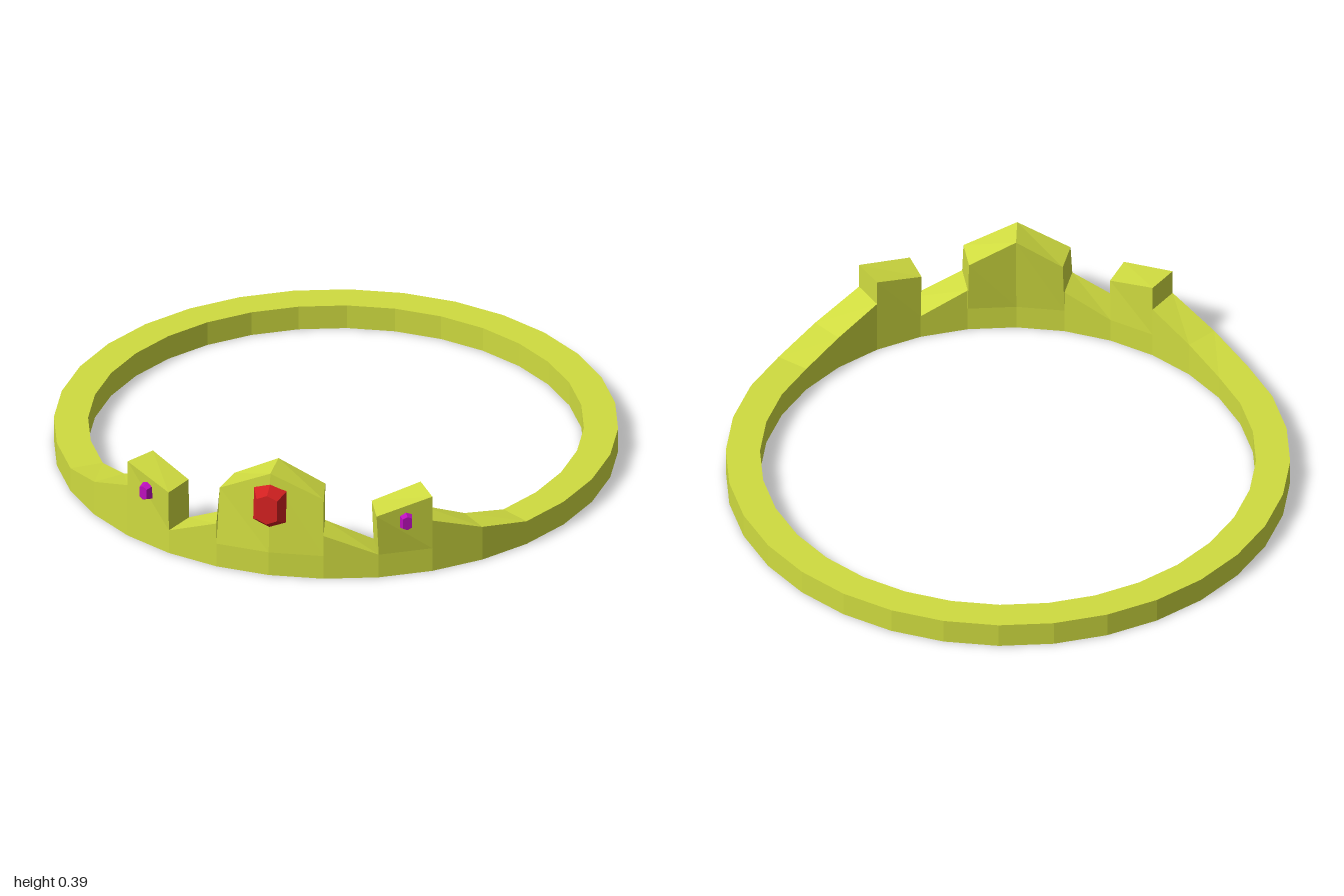
import * as THREE from 'three';

const STEP = Math.PI / 16; // 32-sided band
const FRONT = 0.669; // direction of the central crest, from +z towards -x
const OUTER = 0.99, INNER = 0.87, BAND = 0.09, CENTRE_Z = -0.01;

const gold = new THREE.MeshStandardMaterial({ color: 0xd0dc40, flatShading: true });
const red = new THREE.MeshStandardMaterial({ color: 0xd02020, flatShading: true });
const purple = new THREE.MeshStandardMaterial({ color: 0xbc10bc, flatShading: true });

// Point at k steps from the crest, radius r, height y
function polar(k, r, y) {
  const a = FRONT + k * STEP;
  return [-r * Math.sin(a), y, r * Math.cos(a) + CENTRE_Z];
}

// Half profile of the top edge: steps from crest, height, radial lean
const half = [
  [1, 0.3, -0.027], [1, 0.17, 0], // crest shoulder
  [2, BAND, 0], [2, 0.25, 0.015, -0.05], // valley and side point
  [3, 0.295, 0], [3, 0.2, 0], [4, 0.13, 0],
];
for (let k = 5; k <= 16; k++) half.push([k, BAND, 0]);

// Band and points, lofted from cross-sections all the way round
function circletGeometry() {
  const mirrored = half.map(([k, y, lean, shift = 0]) => [-k, y, lean, -shift]).reverse();
  const sections = [...mirrored, [0, 0.39, -0.025], ...half].map(([k, y, lean, shift = 0]) => [
    polar(k, OUTER, 0), polar(k, OUTER, BAND), polar(k + shift, OUTER + lean, y),
    polar(k + shift, INNER + lean, y), polar(k, INNER, BAND), polar(k, INNER, 0),
  ].map((p) => new THREE.Vector3(...p)));
  const points = [];
  const tri = new THREE.Triangle();
  const add = (a, b, c) => {
    if (tri.set(a, b, c).getArea() > 1e-6) points.push(a, b, c);
  };
  for (let s = 0; s < sections.length - 1; s++) {
    const p = sections[s], q = sections[s + 1];
    for (let i = 0; i < 6; i++) {
      const j = (i + 1) % 6;
      add(p[i], p[j], q[j]);
      add(p[i], q[j], q[i]);
    }
  }
  const geo = new THREE.BufferGeometry().setFromPoints(points);
  geo.computeVertexNormals();
  return geo;
}

// Long hexagonal cut stone with a smaller front table
function gem(name, k, r, y, width, height, depth, tilt, material) {
  const geo = new THREE.CylinderGeometry(0.6, 1, 1, 6).rotateX(Math.PI / 2);
  const pos = geo.attributes.position;
  for (let i = 0; i < pos.count; i++) {
    const py = pos.getY(i), top = pos.getZ(i) > 0 ? 0.6 : 1;
    if (Math.abs(py) < 0.9 * top && Math.abs(pos.getX(i)) > 0.1) pos.setY(i, py * 1.4);
  }
  geo.scale(width / 1.732, height / 2, depth);
  geo.computeVertexNormals();
  const mesh = new THREE.Mesh(geo, material);
  mesh.name = name;
  mesh.position.set(...polar(k, r, y));
  mesh.rotation.set(-tilt, -(FRONT + k * STEP), 0, 'YXZ');
  return mesh;
}

export function createModel() {
  const group = new THREE.Group();
  group.name = 'circlet';
  const band = new THREE.Mesh(circletGeometry(), gold);
  band.name = 'band';
  group.add(band);

  // Stones on the crest and the two side points
  group.add(gem('crestGem', 0, 0.99, 0.27, 0.125, 0.18, 0.06, 0.1, red));
  group.add(gem('rightGem', 2.5, 0.988, 0.215, 0.056, 0.086, 0.05, 0, purple));
  group.add(gem('leftGem', -2.5, 0.988, 0.215, 0.056, 0.086, 0.05, 0, purple));
  return group;
}
